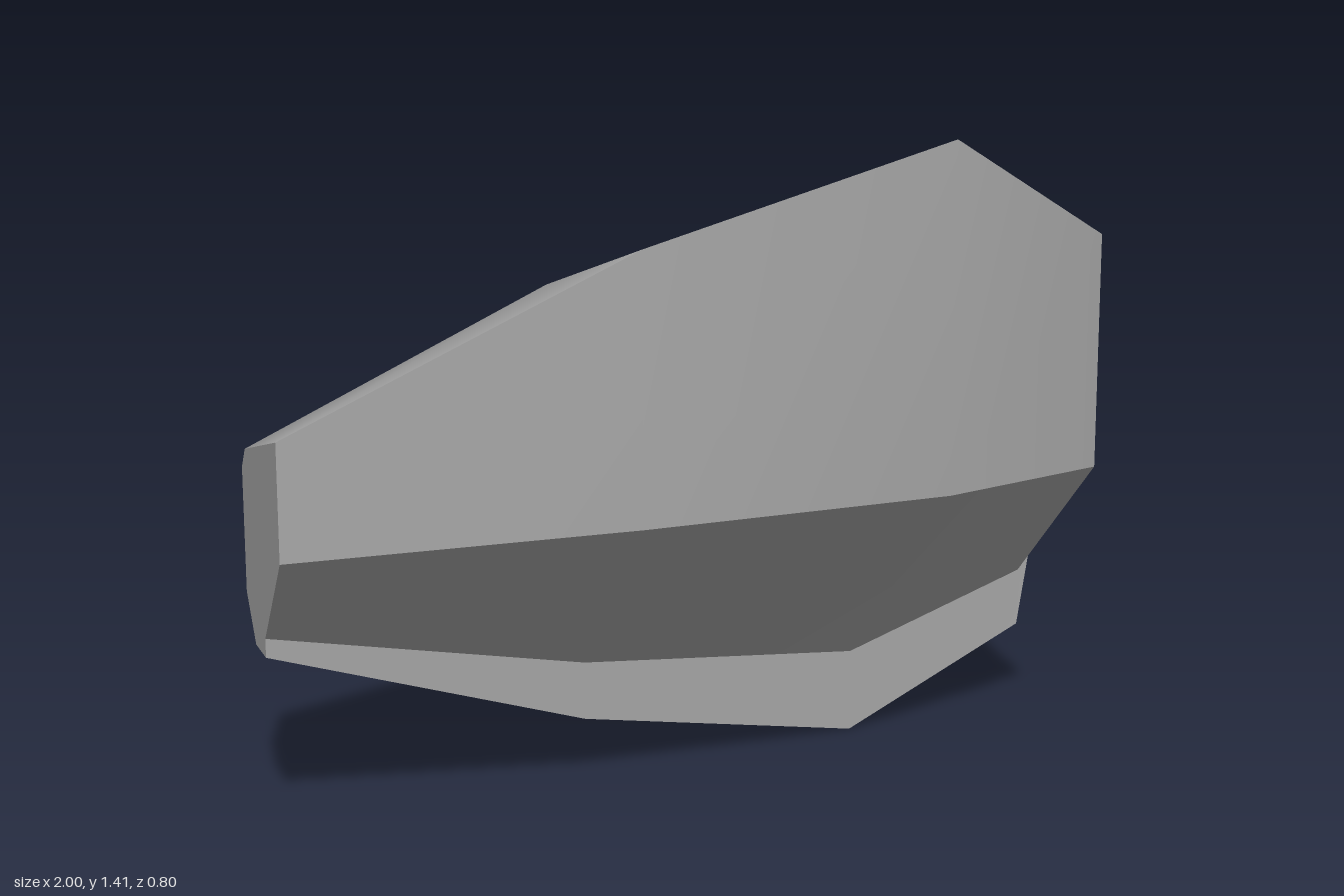
import * as THREE from 'three';
import { toCreasedNormals } from 'three/addons/utils/BufferGeometryUtils.js';

// Cross-sections along x. Each is a ring of eight [z, y] corners:
// front top, back top, back bevel, back lower, bottom back, bottom front, undercut, front lower
const SECTIONS = [
  { x: -1.0, ring: [[0.28, 0.84], [-0.08, 0.775], [-0.125, 0.73], [-0.125, 0.46], [-0.03, 0.365], [0.085, 0.365], [0.085, 0.405], [0.28, 0.6]] },
  { x: -0.29, ring: [[0.4, 1.2], [-0.21, 1.09], [-0.305, 0.995], [-0.305, 0.3], [-0.14, 0.135], [0.03, 0.135], [0.03, 0.265], [0.4, 0.635]] },
  { x: 0.42, ring: [[0.4, 1.415], [-0.285, 1.29], [-0.4, 1.175], [-0.4, 0.215], [-0.19, 0], [-0.06, 0], [-0.06, 0.195], [0.4, 0.655]] },
  { x: 0.925, ring: [[0.2, 1.2], [-0.255, 1.12], [-0.335, 1.04], [-0.335, 0.34], [-0.19, 0.2], [-0.12, 0.2], [-0.12, 0.34], [0.2, 0.655]] },
];
const APEX = [1, 0.64, -0.12];

function loftGeometry() {
  const N = 8;
  const last = SECTIONS.length - 1;
  const positions = [];
  const point = (s, k) => {
    const [z, y] = SECTIONS[s].ring[k % N];
    return [SECTIONS[s].x, y, z];
  };
  const triangle = (a, b, c) => positions.push(...a, ...b, ...c);

  // Sides between neighbouring sections
  for (let s = 0; s < last; s++) {
    for (let k = 0; k < N; k++) {
      const a = point(s, k), b = point(s, k + 1);
      const c = point(s + 1, k + 1), d = point(s + 1, k);
      triangle(a, d, c);
      triangle(a, c, b);
    }
  }
  // Pointed cap on the left end
  for (let k = 0; k < N; k++) triangle(APEX, point(last, k + 1), point(last, k));
  // Flat cap on the right end, fanned from its inner corner
  for (let k = 7; k < 7 + N - 2; k++) triangle(point(0, 6), point(0, k), point(0, k + 1));

  const geometry = new THREE.BufferGeometry();
  geometry.setAttribute('position', new THREE.Float32BufferAttribute(positions, 3));
  return toCreasedNormals(geometry, THREE.MathUtils.degToRad(38));
}

export function createModel() {
  const group = new THREE.Group();
  group.name = 'facetedBlock';

  const grey = new THREE.MeshStandardMaterial({ color: 0xa6a6a6 });
  grey.name = 'grey';

  const shell = new THREE.Mesh(loftGeometry(), grey);
  shell.name = 'shell';
  group.add(shell);
  return group;
}
